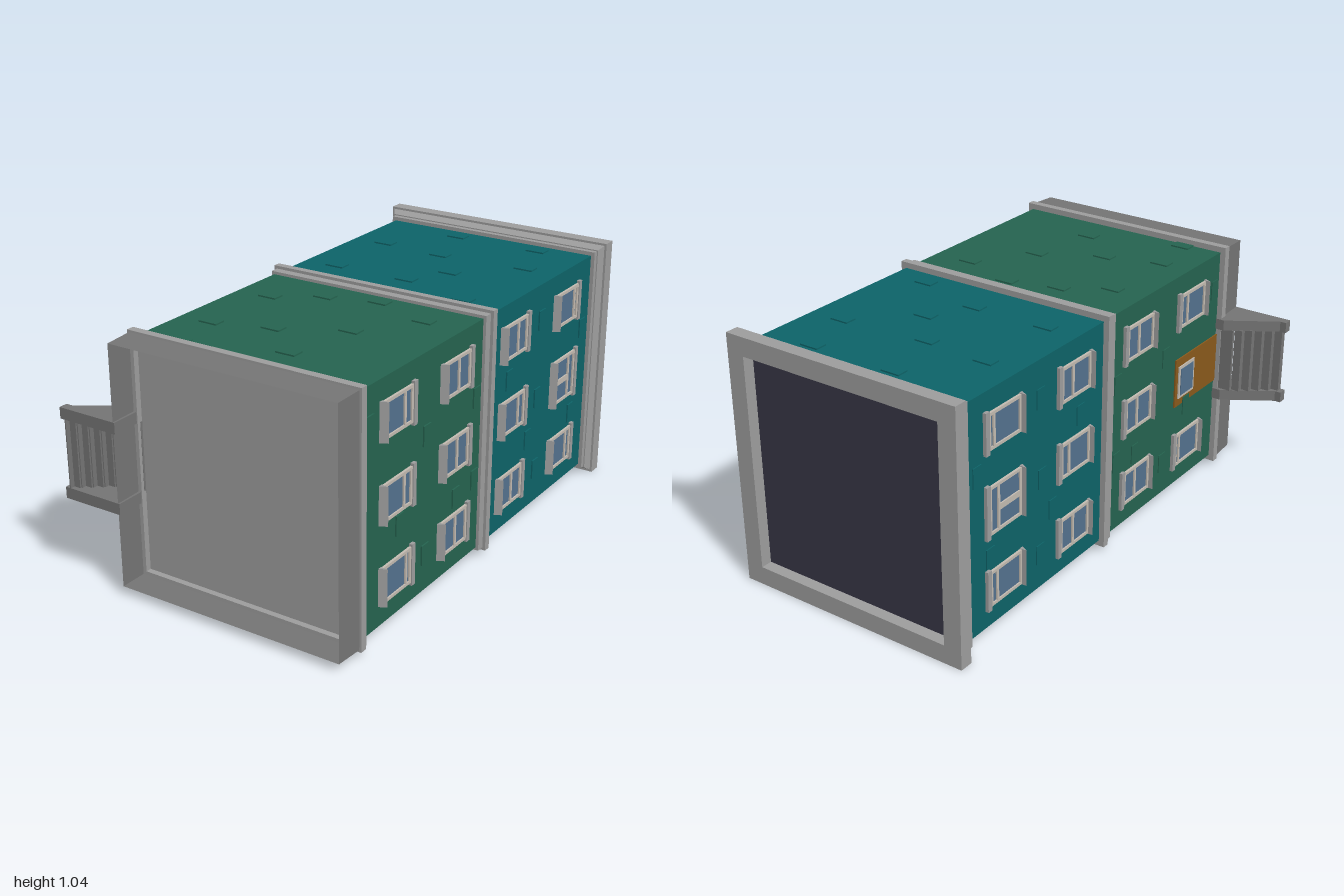
import * as THREE from 'three';

const mat = (name, color, side = THREE.FrontSide) => {
  const m = new THREE.MeshStandardMaterial({ color, side });
  m.name = name;
  return m;
};
const GREEN = mat('green wall', 0x256450);
const TEAL = mat('teal wall', 0x0d6469);
const GRAY = mat('light stone', 0x9e9e9e);
const DARK = mat('dark stone', 0x757575, THREE.DoubleSide);
const NAVY = mat('roof felt', 0x383747);
const FRAME = mat('window frame', 0xc4bcb2);
const GLASS = mat('glass', 0x54728f);
const BROWN = mat('door wood', 0x8a5a1c);

const CX = 0.11, CY = 0.522, HALF = 0.476;

function add(parent, name, geo, material) {
  const m = new THREE.Mesh(geo, material);
  m.name = name;
  parent.add(m);
  return m;
}

// Box from opposite corners, in any order
function box(parent, name, material, x0, x1, y0, y1, z0, z1) {
  const g = new THREE.BoxGeometry(Math.abs(x1 - x0), Math.abs(y1 - y0), Math.abs(z1 - z0));
  g.translate((x0 + x1) / 2, (y0 + y1) / 2, (z0 + z1) / 2);
  return add(parent, name, g, material);
}

// Square ring around the building axis
function ring(parent, name, material, outer, inner, z0, z1) {
  const square = (Type, h) => new Type([[-h, -h], [h, -h], [h, h], [-h, h]].map(p => new THREE.Vector2(...p)));
  const s = square(THREE.Shape, outer);
  s.holes.push(square(THREE.Path, inner));
  const g = new THREE.ExtrudeGeometry(s, { depth: z1 - z0, bevelEnabled: false });
  g.translate(CX, CY, z0);
  return add(parent, name, g, material);
}

// Square tapered sleeve along z
function sleeve(parent, name, material, halfBack, halfFront, z0, z1) {
  let g = new THREE.CylinderGeometry(halfFront * Math.SQRT2, halfBack * Math.SQRT2, z1 - z0, 4, 1, true);
  g.rotateY(Math.PI / 4).rotateX(Math.PI / 2).translate(CX, CY, (z0 + z1) / 2);
  g = g.toNonIndexed();
  g.computeVertexNormals();
  return add(parent, name, g, material);
}

// Profile of [x, z] points extruded along y
function prism(parent, name, material, pts, y0, y1) {
  const s = new THREE.Shape(pts.map(([x, z]) => new THREE.Vector2(x, -z)));
  const g = new THREE.ExtrudeGeometry(s, { depth: y1 - y0, bevelEnabled: false });
  g.rotateX(-Math.PI / 2).translate(0, y0, 0);
  return add(parent, name, g, material);
}

// One window on the wall facing s (+1 or -1); zs is the sill edge
function makeWindow(parent, s, zs, y0, y1, mullion, transom) {
  const g = new THREE.Group();
  g.name = 'window';
  parent.add(g);
  const X = d => CX + s * (HALF + d);
  const z1 = zs - 0.015, z0 = zs - 0.207, t = 0.012;
  box(g, 'glass', GLASS, X(-0.01), X(0.004), y0 + t, y1 - t, z0 + t, z1 - t);
  const bar = (a, b, c, d) => box(g, 'frameBar', FRAME, X(-0.01), X(0.01), a, b, c, d);
  bar(y0, y0 + t, z0, z1);
  bar(y1 - t, y1, z0, z1);
  bar(y0 + t, y1 - t, z0, z0 + t);
  bar(y0 + t, y1 - t, z1 - t, z1);
  const zm = zs - mullion;
  bar(y0 + t, y1 - t, zm - 0.006, zm + 0.006);
  if (transom) bar(transom - 0.012, transom + 0.012, zm + 0.006, z1 - t);
  box(g, 'lintel', GRAY, X(-0.01), X(0.014), y0 - 0.012, y1 + 0.01, z0 - 0.022, z0);
  prism(g, 'sill', GRAY, [[X(-0.01), zs], [X(0), zs], [X(0.03), zs - 0.015], [X(-0.01), zs - 0.018]], y0 - 0.003, y1 + 0.003);
}

export function createModel() {
  const root = new THREE.Group();
  root.name = 'apartmentBuilding';
  const L = CX - HALF, R = CX + HALF, B = CY - HALF, T = CY + HALF;

  // Two wall blocks and the stone bands
  box(root, 'lowerWalls', GREEN, L, R, B, T, 0, 0.85);
  box(root, 'upperWalls', TEAL, L, R, B, T, -0.93, 0);
  ring(root, 'middleBandLower', GRAY, 0.488, HALF - 0.01, -0.012, 0.023);
  ring(root, 'middleBandUpper', GRAY, 0.5, HALF - 0.01, -0.042, -0.012);
  ring(root, 'plinthBand', GRAY, 0.5, HALF, 0.848, 0.88);

  // Hollow plinth with the floor slab inside
  sleeve(root, 'plinth', DARK, 0.492, 0.487, 0.87, 1);
  box(root, 'floorSlab', GRAY, CX - 0.488, CX + 0.488, CY - 0.488, CY + 0.488, 0.85, 0.856);

  // Cornice, parapet and flat roof
  ring(root, 'corniceStep', GRAY, 0.492, HALF - 0.01, -0.918, -0.896);
  sleeve(root, 'corniceSlope', GRAY, 0.514, 0.497, -0.945, -0.917);
  ring(root, 'parapet', GRAY, 0.522, 0.445, -1, -0.943);
  box(root, 'roof', NAVY, CX - 0.46, CX + 0.46, CY - 0.46, CY + 0.46, -0.952, -0.93);

  // Windows on both long walls: columns of sill edge and mullion offsets
  const columns = [[0.735, [0.175, 0.155, 0.155]], [0.33, [0.123, 0.123, 0.123]],
    [-0.12, [0.123, 0.155, 0.133]], [-0.565, [0.165, 0.153, 0.175]]];
  const rows = [[0.13, 0.278], [0.452, 0.6], [0.768, 0.914]];
  for (const s of [1, -1]) {
    columns.forEach(([zs, mullions], c) => rows.forEach(([y0, y1], r) => {
      if (s < 0 && c === 0 && r === 1) return;
      const tall = c === 3 && r === 1;
      makeWindow(root, s, zs, tall ? 0.428 : y0, tall ? 0.624 : y1, mullions[r], tall ? 0.522 : 0);
    }));
  }

  // Entrance door with a glazed light above
  const door = new THREE.Group();
  door.name = 'door';
  root.add(door);
  box(door, 'doorLeaf', BROWN, L - 0.006, L + 0.01, 0.415, 0.63, 0.51, 0.848);
  box(door, 'doorLightFrame', FRAME, L - 0.011, L, 0.45, 0.595, 0.53, 0.655);
  box(door, 'doorLight', GLASS, L - 0.014, L, 0.463, 0.582, 0.543, 0.642);

  // Raised bricks: [x, z] on top and underside, [y, z] on the long walls
  const flat = [[-0.22, -0.58], [-0.01, -0.83], [-0.22, -0.21], [0.11, -0.21], [0.06, -0.56], [0.21, -0.38],
    [0.44, -0.59], [0.37, -0.83], [0.42, -0.12], [-0.22, 0.25], [-0.04, 0.14], [0.17, 0.08], [-0.23, 0.6],
    [0, 0.53], [0.25, 0.4], [0.42, 0.17], [0.19, 0.7], [-0.2, 0.82]];
  for (const [x, z] of flat) {
    const m = z > 0 ? GREEN : TEAL;
    box(root, 'topBrick', m, x - 0.04, x + 0.04, T - 0.01, T + 0.006, z - 0.025, z + 0.025);
    box(root, 'undersideBrick', m, x - 0.04, x + 0.04, B - 0.006, B + 0.01, z - 0.025, z + 0.025);
  }
  const wall = [[0.4, 0.6], [0.68, 0.42], [0.2, 0.42], [0.34, 0.2], [0.7, 0.06], [0.36, 0.06], [0.85, 0.8],
    [0.68, -0.2], [0.36, -0.38], [0.52, -0.45], [0.85, -0.46], [0.7, -0.84], [0.2, -0.46], [0.34, -0.77]];
  for (const s of [1, -1]) for (const [y, z] of wall) {
    const x = CX + s * HALF;
    box(root, 'wallBrick', z > 0 ? GREEN : TEAL, x - 0.01, x + s * 0.006, y - 0.04, y + 0.04, z - 0.025, z + 0.025);
  }

  // Entrance stairs: side cheeks, landing and steps
  const stairs = new THREE.Group();
  stairs.name = 'stairs';
  root.add(stairs);
  const cheek = [[-0.635, 1], [-0.635, 0.963], [-0.608, 0.963], [-0.408, 0.836], [-0.37, 0.836], [-0.37, 1]];
  for (const y of [0.335, 0.66]) prism(stairs, 'cheek', DARK, cheek, y, y + 0.046);
  const n = 5, run = 0.034, rise = 0.026;
  for (let i = 0; i < n; i++) {
    const x = -0.615 + i * run, z = 1 - (i + 1) * rise;
    box(stairs, 'tread', DARK, x, x + run, 0.38, 0.662, z, z + 0.006);
    box(stairs, 'riser', DARK, x, x + 0.005, 0.38, 0.662, z, z + rise);
  }
  box(stairs, 'landing', DARK, -0.445, -0.365, 0.38, 0.662, 0.852, 0.866);
  return root;
}
